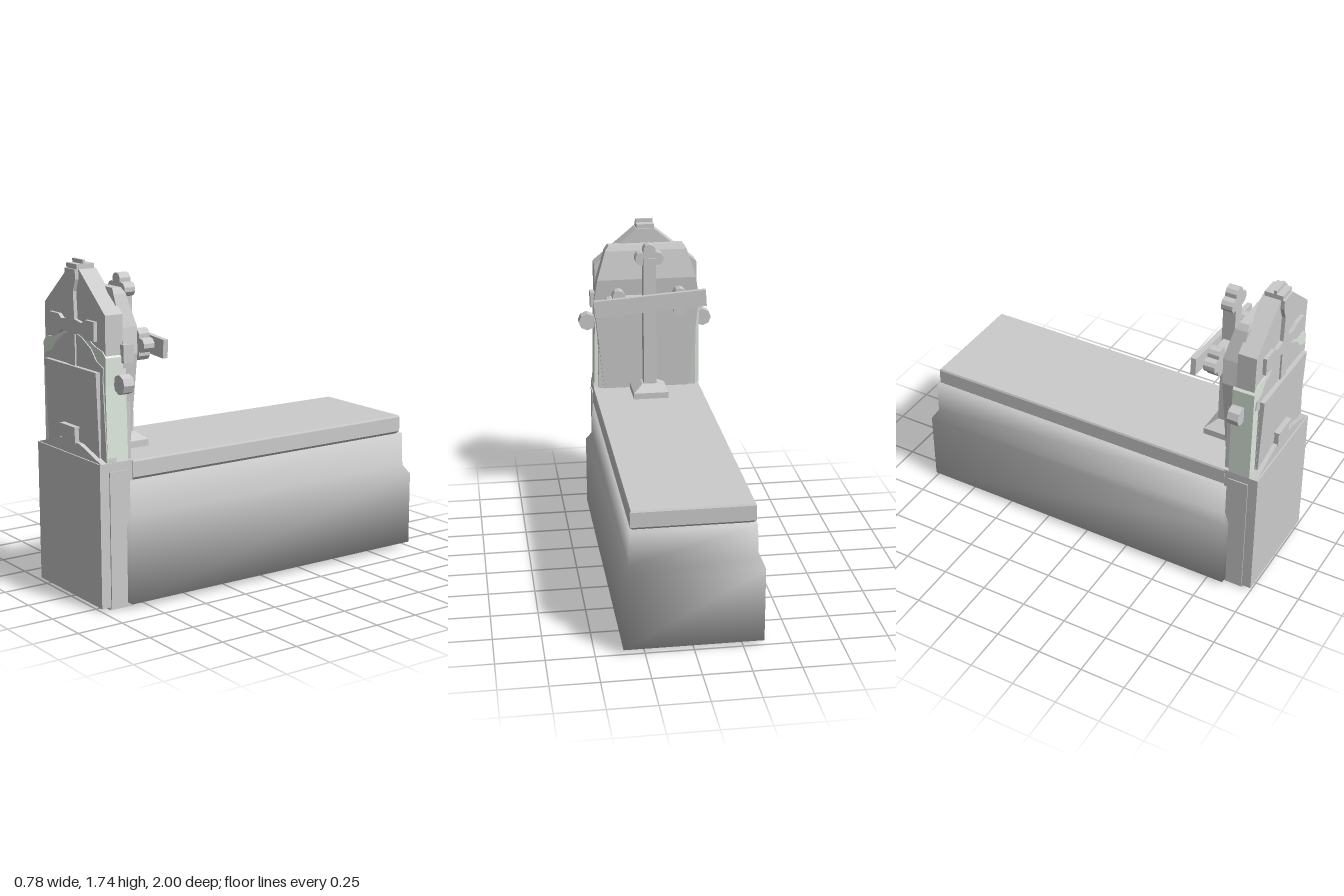
import * as THREE from 'three';

const grey = new THREE.MeshStandardMaterial({ color: 0xcccccc });
const flatGrey = new THREE.MeshStandardMaterial({ color: 0xcccccc, flatShading: true });
const pale = new THREE.MeshStandardMaterial({ color: 0xdfe9df, flatShading: true });

// Stack of rectangles, each row [y, halfWidth, zBack, zFront]
function loft(rows, smooth = false) {
  const pos = [], idx = [];
  rows.forEach(([y, w, a, b]) => pos.push(-w, y, b, w, y, b, w, y, a, -w, y, a));
  for (let r = 0; r < rows.length - 1; r++) {
    for (let i = 0; i < 4; i++) {
      const p = r * 4 + i, q = r * 4 + (i + 1) % 4;
      idx.push(p, q, q + 4, p, q + 4, p + 4);
    }
  }
  const t = (rows.length - 1) * 4;
  idx.push(0, 2, 1, 0, 3, 2, t, t + 1, t + 2, t, t + 2, t + 3);
  let g = new THREE.BufferGeometry();
  g.setAttribute('position', new THREE.Float32BufferAttribute(pos, 3));
  g.setIndex(idx);
  if (!smooth) g = g.toNonIndexed();
  g.computeVertexNormals();
  return g;
}

// Outline in x/y given thickness from z0 to z1
function plate(points, z0, z1) {
  const shape = new THREE.Shape(points.map(([x, y]) => new THREE.Vector2(x, y)));
  return new THREE.ExtrudeGeometry(shape, { depth: z1 - z0, bevelEnabled: false }).translate(0, 0, z0);
}

// Box from its extents
function box(x0, x1, y0, y1, z0, z1) {
  return new THREE.BoxGeometry(x1 - x0, y1 - y0, z1 - z0)
    .translate((x0 + x1) / 2, (y0 + y1) / 2, (z0 + z1) / 2);
}

// Disc facing z
function disc(x, y, r, z0, z1, sides = 10) {
  return new THREE.CylinderGeometry(r, r, z1 - z0, sides)
    .rotateX(Math.PI / 2).translate(x, y, (z0 + z1) / 2);
}

export function createModel() {
  const model = new THREE.Group();
  const add = (name, geometry, material = flatGrey, parent = model) => {
    const mesh = new THREE.Mesh(geometry, material);
    mesh.name = name;
    parent.add(mesh);
    return mesh;
  };

  // Tomb chest and lid
  add('tombChest', loft([
    [0.03, 0.358, -1, 0.85], [0.43, 0.358, -1, 0.85],
    [0.48, 0.325, -0.97, 0.825], [0.66, 0.318, -0.97, 0.825],
  ], true), grey);
  add('lid', loft([
    [0.655, 0.295, -0.93, 0.8], [0.675, 0.315, -0.95, 0.81],
    [0.755, 0.315, -0.95, 0.81], [0.765, 0.31, -0.945, 0.81],
  ]));

  // Pedestal under the headstone
  add('pedestalCore', box(-0.312, 0.308, 0.005, 0.765, 0.81, 0.95));
  add('pedestalSidePanel', box(-0.318, 0.315, 0.01, 0.72, 0.835, 0.945));
  add('pedestalFront', box(-0.315, 0.308, 0.02, 0.765, 0.95, 0.998));
  add('pedestalGable', plate([[-0.315, 0.765], [0.308, 0.765], [0.1, 0.83], [-0.1, 0.83]], 0.93, 0.99));

  // Pointed headstone with its top cap
  add('headstone', plate([
    [-0.29, 1.15], [0.29, 1.15], [0.292, 1.5], [0.05, 1.7], [-0.055, 1.7], [-0.3, 1.5], [-0.305, 1.3],
  ], 0.845, 0.945));
  add('headstoneCap', box(-0.055, 0.045, 1.69, 1.725, 0.855, 0.955));
  add('headstoneCapRidge', box(-0.055, 0.045, 1.72, 1.745, 0.905, 0.92));
  add('headstoneFoot', box(-0.29, 0.28, 0.74, 1.2, 0.8, 0.9));
  add('sideTab', box(0.28, 0.322, 1.26, 1.35, 0.8, 0.86)).rotation.z = 0;

  // Pale arched surround with a darker panel inset in it
  add('archSurround', plate([
    [-0.315, 0.765], [0.305, 0.765], [0.295, 1.15], [0.3, 1.29], [0.27, 1.32], [0.2, 1.335],
    [0.1, 1.38], [0, 1.395], [-0.1, 1.375], [-0.2, 1.335], [-0.285, 1.325], [-0.315, 1.29],
  ], 0.832, 0.95), pale);
  add('archPanel', plate([
    [-0.255, 0.765], [0.306, 0.765], [0.278, 1.18], [0.285, 1.24], [0.22, 1.265], [0.17, 1.32],
    [0.08, 1.365], [0, 1.385], [-0.09, 1.36], [-0.18, 1.305], [-0.22, 1.26], [-0.285, 1.24],
    [-0.3, 1.19], [-0.255, 1.17],
  ], 0.9, 0.956));

  // Inscription tablet, leaning slightly, with a small holder at its foot
  add('tablet', loft([[0.765, 0.253, 0.94, 0.965], [1.215, 0.253, 0.95, 0.98]]));
  add('holder', box(-0.07, 0.06, 0.82, 0.905, 0.955, 0.993));
  add('holderRim', box(-0.08, 0.07, 0.9, 0.91, 0.95, 1));

  // Flared relief cross
  add('reliefCross', plate([
    [-0.035, 1.2], [0.03, 1.2], [0.03, 1.375], [0.1, 1.385], [0.13, 1.362], [0.215, 1.362],
    [0.215, 1.46], [0.13, 1.46], [0.1, 1.44], [0.03, 1.45], [0.022, 1.59], [0.045, 1.65],
    [0.045, 1.7], [-0.055, 1.7], [-0.055, 1.65], [-0.03, 1.59], [-0.035, 1.45], [-0.1, 1.44],
    [-0.13, 1.46], [-0.225, 1.46], [-0.225, 1.362], [-0.13, 1.362], [-0.1, 1.385], [-0.035, 1.375],
  ], 0.93, 0.965));

  // Tapered slab on the back of the headstone
  add('backSlab', loft([
    [0.765, 0.25, 0.79, 0.85], [1.3, 0.305, 0.77, 0.85], [1.43, 0.285, 0.758, 0.85],
    [1.59, 0.235, 0.79, 0.86], [1.62, 0.215, 0.805, 0.855],
  ]));

  // Side knobs
  for (const s of [-1, 1]) {
    const knob = new THREE.Group();
    knob.name = s < 0 ? 'rightKnob' : 'leftKnob';
    model.add(knob);
    add('knobHead', disc(s * 0.338, 1.16, 0.05, 0.84, 0.9, 8), flatGrey, knob);
    add('knobNeck', box(s * 0.305 - 0.02, s * 0.305 + 0.02, 1.13, 1.19, 0.845, 0.895), flatGrey, knob);
  }

  // Free-standing cross with three-lobed ends
  const cross = new THREE.Group();
  cross.name = 'standingCross';
  model.add(cross);
  add('crossBase', loft([
    [0.76, 0.1, 0.58, 0.77], [0.8, 0.1, 0.58, 0.77], [0.84, 0.045, 0.63, 0.71],
  ]), flatGrey, cross);
  add('crossPost', box(-0.036, 0.036, 0.83, 1.585, 0.63, 0.7), flatGrey, cross);
  add('crossArm', box(-0.17, 0.17, 1.285, 1.355, 0.64, 0.7), flatGrey, cross);
  for (const [x, y, a] of [[0, 1.58, Math.PI / 2], [0.175, 1.318, 0], [-0.175, 1.318, Math.PI]]) {
    for (const turn of [-Math.PI / 2, 0, Math.PI / 2]) {
      const lx = x + 0.045 * Math.cos(a + turn), ly = y + 0.045 * Math.sin(a + turn);
      add('lobe', disc(lx, ly, 0.037, 0.637, 0.7), flatGrey, cross);
    }
    add('lobeCentre', disc(x, y, 0.045, 0.637, 0.7), flatGrey, cross);
  }

  // Slightly crooked plank across the cross
  const plank = add('plank', new THREE.BoxGeometry(0.64, 0.095, 0.028), flatGrey, cross);
  plank.position.set(0, 1.328, 0.614);
  plank.rotation.z = -0.07;

  return model;
}
